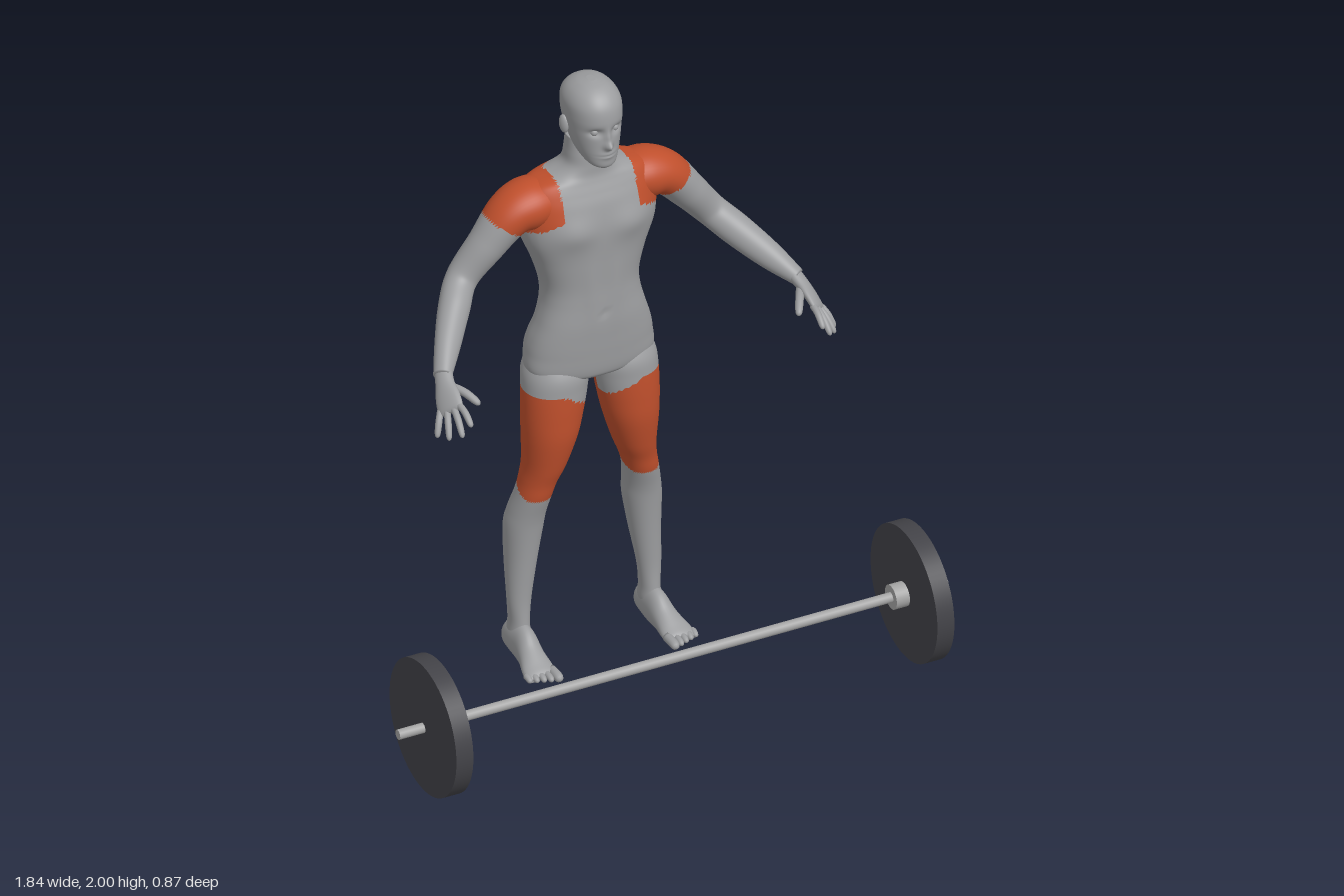
import * as THREE from 'three';

const mat = (name, color) => Object.assign(new THREE.MeshStandardMaterial({ color }), { name });
const V = (x, y, z) => new THREE.Vector3(x, y, z);
const bump = (dx, dy, sx, sy) => Math.exp(-((dx / sx) ** 2) - ((dy / sy) ** 2));

// Catmull-Rom interpolation of rows of numbers, t in 0..1
function spline(keys, t) {
  const n = keys.length - 1;
  const i = Math.min(Math.floor(t * n), n - 1), u = t * n - i;
  const k = (j) => keys[Math.max(0, Math.min(n, j))];
  return keys[0].map((_, c) => {
    const p0 = k(i - 1)[c], p1 = k(i)[c], p2 = k(i + 1)[c], p3 = k(i + 2)[c];
    return p1 + 0.5 * u * (p2 - p0 + u * (2 * p0 - 5 * p1 + 4 * p2 - p3 + u * (3 * (p1 - p2) + p3 - p0)));
  });
}

// Closed skin over rings of points; faces where isMuscle holds use the second material
function skinOver(rows, cols, point, isMuscle = () => false) {
  const pts = [];
  for (let i = 0; i <= rows; i++) for (let j = 0; j < cols; j++) pts.push(point(i / rows, (j / cols) * Math.PI * 2));
  const centre = (r) => {
    const c = V(0, 0, 0);
    for (let j = 0; j < cols; j++) c.addScaledVector(pts[r * cols + j], 1 / cols);
    return c;
  };
  const start = pts.push(centre(0)) - 1, end = pts.push(centre(rows)) - 1;
  const plain = [], muscle = [];
  const tri = (a, b, c) => {
    const m = V(0, 0, 0).add(pts[a]).add(pts[b]).add(pts[c]).divideScalar(3);
    (isMuscle(m) ? muscle : plain).push(a, b, c);
  };
  for (let j = 0; j < cols; j++) {
    const k = (j + 1) % cols, last = rows * cols;
    tri(start, j, k);
    tri(end, last + k, last + j);
    for (let i = 0; i < rows; i++) {
      const a = i * cols + j, d = i * cols + k;
      tri(a, a + cols, d);
      tri(a + cols, d + cols, d);
    }
  }
  const g = new THREE.BufferGeometry().setFromPoints(pts);
  g.setIndex([...plain, ...muscle]);
  g.addGroup(0, plain.length, 0);
  g.addGroup(plain.length, muscle.length, 1);
  g.computeVertexNormals();
  return g;
}

// Upright form, keys from the bottom up: [y, x0, x1, zFront, zBack]
function loft(keys, rows, cols, power, sculpt, isMuscle) {
  const round = (c) => Math.sign(c) * Math.abs(c) ** (2 / power);
  return skinOver(rows, cols, (t, a) => {
    const [y, x0, x1, zf, zb] = spline(keys, t);
    const p = V((x0 + x1) / 2 + Math.abs(x1 - x0) / 2 * round(Math.cos(a)), y, (zf + zb) / 2 + (zf - zb) / 2 * round(Math.sin(a)));
    if (sculpt) sculpt(p);
    return p;
  }, isMuscle);
}

// Limb along a path, keys: [x, y, z, thickness, width], width measured along ref
function sweep(keys, ref, rows, cols, isMuscle, sculpt) {
  const at = (t) => V(...spline(keys, Math.max(0, Math.min(1, t))).slice(0, 3));
  return skinOver(rows, cols, (t, a) => {
    const [x, y, z, rv, rd] = spline(keys, t);
    const T = at(t + 0.02).sub(at(t - 0.02)).normalize();
    const N = ref.clone().addScaledVector(T, -ref.dot(T)).normalize();
    const B = N.clone().cross(T);
    const p = V(x, y, z).addScaledVector(N, rd * Math.cos(a)).addScaledVector(B, rv * Math.sin(a));
    if (sculpt) sculpt(p);
    return p;
  }, isMuscle);
}

const sym = (rows) => rows.map(([y, w, f, b]) => [y, -w, w, f, b]);
const gluteArea = (p) => p.z < -0.36 && ((Math.abs(p.x) - 0.075) / 0.085) ** 2 + ((p.y - 1.095) / 0.09) ** 2 < 1;

export function createModel() {
  const skin = mat('skin grey', 0x9c9d9f), red = mat('muscle red', 0xbf4f2c);
  const dark = mat('plate dark', 0x434348), steel = mat('bar steel', 0xa4a4a4);
  const model = new THREE.Group(), body = new THREE.Group();
  body.name = 'body';
  body.position.x = -0.015;
  model.add(body);
  const add = (parent, name, geo, m = [skin, red]) => {
    const mesh = new THREE.Mesh(geo, m);
    mesh.name = name;
    parent.add(mesh);
    return mesh;
  };

  // Torso and neck
  const torsoKeys = sym([
    [0.965, 0.05, -0.24, -0.33], [0.985, 0.15, -0.207, -0.37], [1.01, 0.205, -0.196, -0.39],
    [1.07, 0.205, -0.19, -0.408], [1.12, 0.195, -0.187, -0.402], [1.18, 0.175, -0.185, -0.388],
    [1.25, 0.157, -0.188, -0.39], [1.31, 0.157, -0.19, -0.403], [1.39, 0.18, -0.188, -0.418],
    [1.47, 0.212, -0.186, -0.43], [1.53, 0.222, -0.19, -0.433], [1.59, 0.222, -0.2, -0.432],
    [1.63, 0.215, -0.215, -0.42], [1.66, 0.185, -0.228, -0.4], [1.682, 0.12, -0.235, -0.385],
    [1.71, 0.081, -0.237, -0.37], [1.75, 0.071, -0.24, -0.365], [1.8, 0.066, -0.25, -0.36]]);
  const torsoSculpt = (p) => {
    const ax = Math.abs(p.x), y = p.y;
    if (p.z < -0.33) {
      p.z += 0.02 * bump(p.x, y - 1.4, 0.03, 0.2) + 0.025 * bump(p.x, y - 1.06, 0.018, 0.07);
      p.z -= 0.028 * bump(ax - 0.085, y - 1.075, 0.06, 0.06) + 0.01 * bump(ax - 0.1, y - 1.52, 0.05, 0.09);
    } else if (p.z > -0.25) {
      p.z += 0.015 * bump(ax - 0.095, y - 1.515, 0.07, 0.05) + 0.004 * bump(ax - 0.04, y - 1.3, 0.025, 0.1);
      p.z -= 0.006 * bump(p.x, y - 1.215, 0.01, 0.01);
    }
  };
  const torsoMuscle = (p) => {
    const ax = Math.abs(p.x);
    if (gluteArea(p)) return true;
    if (p.z < -0.34) return p.y > 1.605 && (p.y < 1.675 || ax > 0.125) && p.y < 1.7;
    return ax > 0.125 && p.y > 1.56 - (ax - 0.12) * 0.45;
  };
  add(body, 'torso', loft(torsoKeys, 110, 96, 2.4, torsoSculpt, torsoMuscle));

  // Head with face relief
  const headKeys = sym([
    [1.736, 0.02, -0.18, -0.23], [1.75, 0.044, -0.167, -0.28], [1.78, 0.061, -0.166, -0.33],
    [1.82, 0.073, -0.168, -0.358], [1.86, 0.081, -0.169, -0.378], [1.9, 0.085, -0.166, -0.39],
    [1.94, 0.083, -0.174, -0.388], [1.97, 0.068, -0.195, -0.368], [1.99, 0.042, -0.225, -0.335],
    [1.999, 0.012, -0.262, -0.295]]);
  const face = (p) => {
    if (p.z < -0.23) return;
    const ax = Math.abs(p.x), y = p.y;
    p.z += 0.024 * bump(p.x, y - 1.822, 0.012, 0.014) + 0.012 * bump(p.x, y - 1.85, 0.01, 0.025);
    p.z += 0.007 * bump(p.x, y - 1.787, 0.022, 0.012) - 0.005 * bump(p.x, y - 1.787, 0.025, 0.003);
    p.z -= 0.013 * bump(ax - 0.034, y - 1.866, 0.02, 0.013);
  };
  const head = new THREE.Group();
  head.name = 'head';
  body.add(head);
  add(head, 'skull', loft(headKeys, 100, 96, 2.2, face));
  for (const s of [1, -1]) {
    const ear = add(head, 'ear', new THREE.SphereGeometry(1, 20, 14), skin);
    ear.scale.set(0.011, 0.03, 0.018);
    ear.position.set(s * 0.087, 1.857, -0.287);
    ear.rotation.set(-0.15, s * -0.3, 0);
    const eye = add(head, 'eye', new THREE.SphereGeometry(0.012, 16, 12), skin);
    eye.position.set(s * 0.034, 1.865, -0.192);
  }

  for (const s of [1, -1]) {
    const side = s > 0 ? 'left' : 'right';
    const m = (keys) => keys.map(([x, ...r]) => [s * x, ...r]);

    // Arm
    const armMuscle = (p) => {
      const ax = Math.abs(p.x);
      return ax > 0.125 && 0.55 * (ax - 0.27) - 0.83 * (p.y - 1.54) < 0 && (p.z > -0.36 || p.y > 1.57);
    };
    add(body, side + 'Arm', sweep(m([
      [0.1, 1.595, -0.32, 0.06, 0.08], [0.19, 1.592, -0.315, 0.078, 0.09], [0.26, 1.572, -0.31, 0.068, 0.079],
      [0.335, 1.49, -0.31, 0.058, 0.061], [0.415, 1.393, -0.313, 0.05, 0.049], [0.475, 1.335, -0.25, 0.05, 0.047],
      [0.54, 1.275, -0.165, 0.042, 0.038], [0.595, 1.225, -0.09, 0.026, 0.03]]), V(0, 0, 1), 80, 48, armMuscle));

    // Hand: palm, four fingers, thumb
    const hand = new THREE.Group();
    hand.name = side + 'Hand';
    body.add(hand);
    const spread = V(s * 0.6, -0.47, -0.64);
    add(hand, 'palm', sweep(m([[0.588, 1.232, -0.1, 0.022, 0.029], [0.6, 1.21, -0.065, 0.02, 0.032],
      [0.609, 1.188, -0.03, 0.017, 0.042], [0.615, 1.166, 0, 0.014, 0.044], [0.617, 1.158, 0.011, 0.006, 0.036]]),
      spread, 16, 24));
    const digits = [
      ['indexFinger', 0.594, 1.181, 0.016, 0.59, 1.143, 0.09], ['middleFinger', 0.608, 1.171, 0.004, 0.617, 1.11, 0.085],
      ['ringFinger', 0.622, 1.159, -0.01, 0.647, 1.092, 0.055], ['littleFinger', 0.636, 1.149, -0.024, 0.667, 1.085, 0.015],
      ['thumb', 0.589, 1.205, -0.058, 0.535, 1.176, 0.036]];
    for (const [name, x, y, z, tx, ty, tz] of digits) {
      const r = name === 'thumb' ? 0.0135 : 0.011;
      const keys = [[0, 1], [0.35, 0.95], [0.6, 0.95], [0.85, 0.85], [0.96, 0.6], [1, 0.15]].map(([t, k]) => [
        s * (x + (tx - x) * t), y + (ty - y) * t + 0.01 * Math.sin(t * Math.PI), z + (tz - z) * t, r * k, r * k]);
      add(hand, name, sweep(keys, spread, 18, 12), skin);
    }

    // Leg
    const legMuscle = (p) => {
      const ax = Math.abs(p.x);
      const top = p.z > -0.29 ? 0.945 - 0.6 * Math.max(0, 0.13 - ax) : 0.945;
      return gluteArea(p) || (p.y < top && p.y > 0.565 + 0.4 * Math.max(0, -0.26 - p.z));
    };
    const legKeys = [
      [0.02, 0.195, 0.25, -0.28, -0.365], [0.07, 0.187, 0.253, -0.277, -0.372], [0.12, 0.188, 0.25, -0.284, -0.366],
      [0.2, 0.18, 0.255, -0.288, -0.365], [0.33, 0.158, 0.257, -0.282, -0.39], [0.44, 0.14, 0.258, -0.272, -0.4],
      [0.5, 0.135, 0.249, -0.262, -0.391], [0.57, 0.125, 0.232, -0.243, -0.373], [0.62, 0.11, 0.222, -0.234, -0.369],
      [0.68, 0.085, 0.216, -0.217, -0.37], [0.78, 0.052, 0.22, -0.197, -0.376], [0.86, 0.033, 0.222, -0.193, -0.38],
      [0.94, 0.018, 0.22, -0.194, -0.384], [1.0, 0.01, 0.214, -0.199, -0.397], [1.06, 0.03, 0.19, -0.23, -0.385]];
    add(body, side + 'Leg', loft(legKeys.map(([y, a, b, f, k]) => [y, s * a, s * b, f, k]), 110, 56, 2.1, null, legMuscle));

    // Foot with flat sole and five toes
    const foot = new THREE.Group();
    foot.name = side + 'Foot';
    body.add(foot);
    const sole = (p) => { p.y = Math.max(p.y, 0.012); };
    add(foot, 'footBody', sweep(m([
      [0.222, 0.045, -0.383, 0.015, 0.014], [0.222, 0.045, -0.37, 0.042, 0.032], [0.222, 0.052, -0.33, 0.06, 0.036],
      [0.222, 0.05, -0.28, 0.066, 0.036], [0.226, 0.038, -0.23, 0.044, 0.04], [0.231, 0.026, -0.18, 0.028, 0.049],
      [0.234, 0.02, -0.15, 0.019, 0.05], [0.234, 0.018, -0.135, 0.01, 0.044]]), V(1, 0, 0), 40, 32, undefined, sole), skin);
    for (let i = 0; i < 5; i++) {
      const x = 0.195 + i * 0.02 + (i ? 0.003 : 0), r = i ? 0.0105 : 0.015, tip = -0.097 - 0.008 * i;
      add(foot, 'toe', sweep(m([[x, 0.024, -0.16, r, r], [x, 0.024, tip - 0.02, r, r],
        [x, 0.02, tip - 0.005, r * 0.75, r * 0.75], [x, 0.018, tip, r * 0.2, r * 0.2]]), V(1, 0, 0), 12, 12, undefined, sole), skin);
    }
  }

  // Barbell
  const barbell = new THREE.Group();
  barbell.name = 'barbell';
  barbell.position.set(0, 0.219, 0.22);
  model.add(barbell);
  const rod = (name, r, length, x, m, sides) => {
    const mesh = add(barbell, name, new THREE.CylinderGeometry(r, r, length, sides).rotateZ(Math.PI / 2), m);
    mesh.position.x = x;
  };
  rod('bar', 0.016, 1.84, 0, steel, 24);
  for (const s of [1, -1]) {
    rod('plate', 0.218, 0.057, s * 0.807, dark, 64);
    rod('collar', 0.039, 0.045, s * 0.757, steel, 32);
  }
  return model;
}
